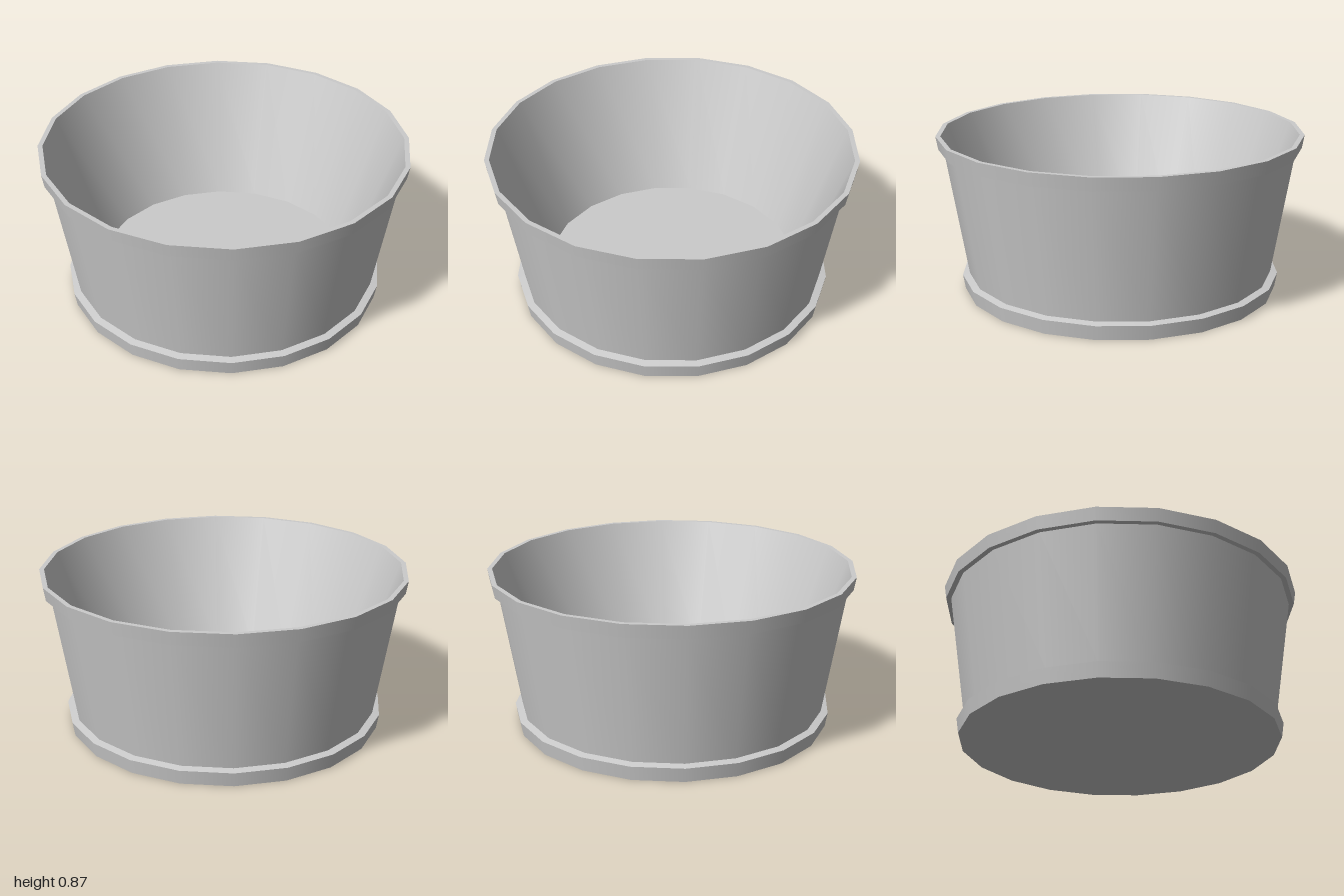
import * as THREE from 'three';
import { mergeGeometries } from 'three/addons/utils/BufferGeometryUtils.js';

const SIDES = 20;
const material = new THREE.MeshStandardMaterial({ color: 0xcccccc });

// Turns a [radius, height] profile; each band is its own lathe, so edges between bands stay sharp
function turned(name, profile) {
  const bands = [];
  for (let i = 0; i < profile.length - 1; i++) {
    const points = [profile[i], profile[i + 1]].map(([r, y]) => new THREE.Vector2(r, y));
    bands.push(new THREE.LatheGeometry(points, SIDES));
  }
  const mesh = new THREE.Mesh(mergeGeometries(bands), material);
  mesh.name = name;
  return mesh;
}

export function createModel() {
  const group = new THREE.Group();
  group.name = 'plantPot';

  // Shallow dish under the pot, with a narrow ledge meeting the wall
  group.add(turned('saucer', [[0, 0], [0.873, 0], [0.886, 0.08], [0.847, 0.088]]));

  // Flared outer wall
  group.add(turned('outerWall', [[0.847, 0.088], [0.96, 0.8]]));

  // Overhanging rim: underside, band and top lip
  group.add(turned('rim', [[0.96, 0.8], [0.988, 0.8], [1, 0.872], [0.974, 0.872]]));

  // Tapered inside and flat floor
  group.add(turned('interior', [[0.974, 0.872], [0.704, 0.11], [0, 0.11]]));

  return group;
}
